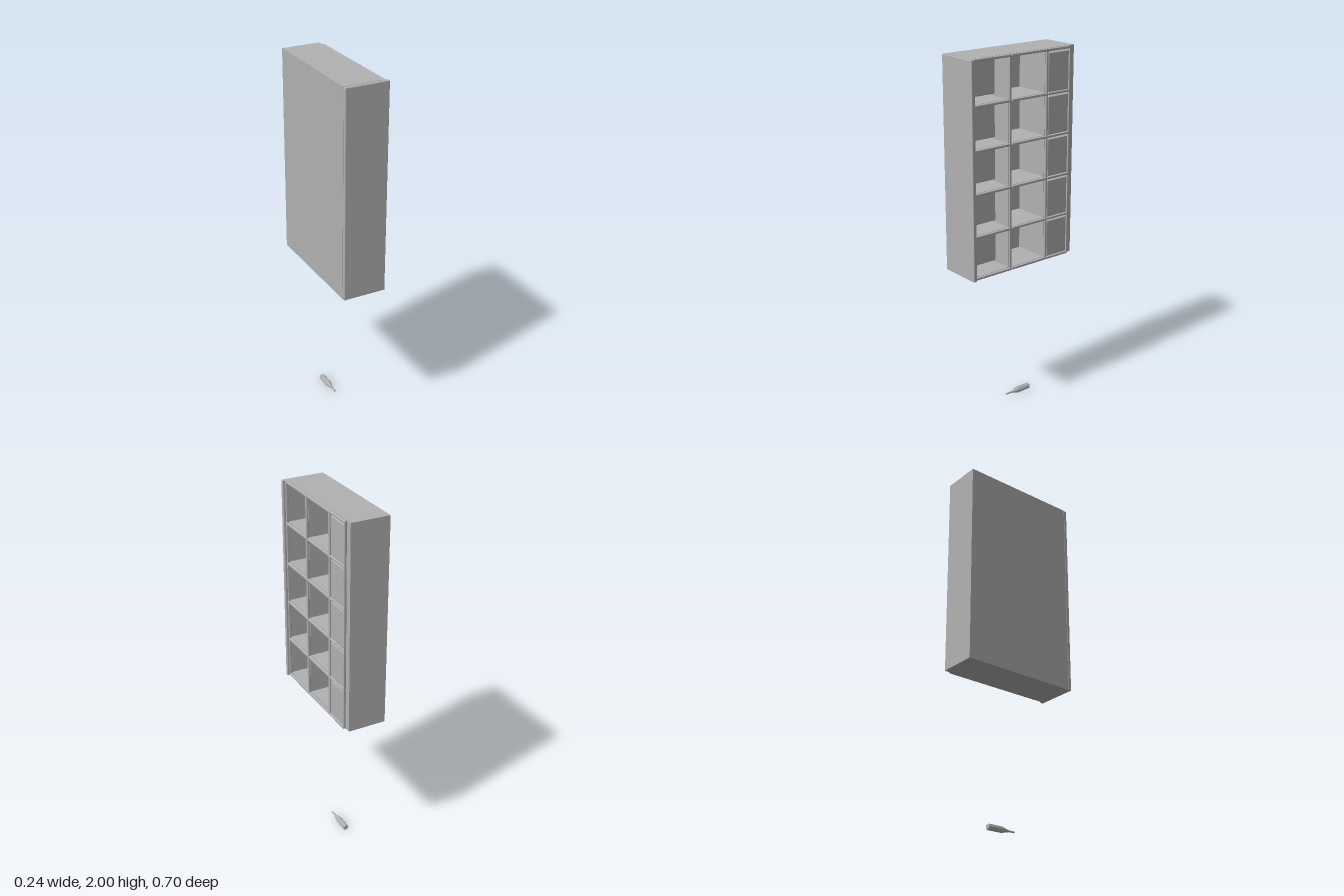
import * as THREE from 'three';
import { RoundedBoxGeometry } from 'three/addons/geometries/RoundedBoxGeometry.js';

export function createModel() {
  const model = new THREE.Group();
  model.name = 'wallShelfAndTool';
  const grey = new THREE.MeshStandardMaterial({ color: 0xb2b2b2 });
  grey.name = 'grey';

  // Box given by its min and max corners, optionally with rounded edges
  function box(name, [x0, y0, z0], [x1, y1, z1], radius = 0) {
    const s = [x1 - x0, y1 - y0, z1 - z0];
    const geo = radius ? new RoundedBoxGeometry(...s, 2, radius) : new THREE.BoxGeometry(...s);
    const mesh = new THREE.Mesh(geo, grey);
    mesh.name = name;
    mesh.position.set((x0 + x1) / 2, (y0 + y1) / 2, (z0 + z1) / 2);
    model.add(mesh);
  }

  const bottom = 0.84, top = 2, t = 0.014;
  const back = -0.121, face = 0.095, trim = 0.11;
  const pitch = (top - bottom - t) / 5;

  // Carcass: back, end walls and the two uprights
  box('backPanel', [back, bottom, -0.35], [back + t, top, 0.327]);
  box('rearWall', [back, bottom, -0.35], [face, top, -0.314]);
  box('frontSidePanel', [back, bottom, 0.327], [0.121, top, 0.348], 0.004);
  const uprights = [[0.084, 0.098], [-0.163, -0.149]];
  for (const [z0, z1] of uprights) box('upright', [back + t, bottom, z0], [face, top, z1]);

  // Face stiles along the uprights and the ends
  for (const [z0, z1] of [...uprights, [0.318, 0.327], [-0.315, -0.308]])
    box('stile', [face, bottom, z0], [trim - 0.001, top, z1], 0.003);

  // Shelves with a separate rounded edging in each column
  const columns = [[0.083, 0.326], [-0.16, 0.082], [-0.315, -0.161]];
  for (let i = 0; i <= 5; i++) {
    const y = bottom + i * pitch;
    box('shelf', [back, y, -0.33], [face, y + t, 0.327]);
    for (const [z0, z1] of columns) box('shelfEdging', [face, y, z0], [trim, y + t, z1], 0.004);
  }

  // Recessed panels in the first column, doors in the last
  for (let i = 0; i < 5; i++) {
    const y0 = bottom + i * pitch + t, y1 = bottom + (i + 1) * pitch;
    box('recessedPanel', [-0.022, y0 + 0.012, 0.1], [-0.007, y1 - 0.012, 0.283], 0.006);
    box('door', [0.09, y0 + 0.001, -0.308], [0.105, y1 - 0.008, -0.166], 0.005);
  }

  // Hand tool lying below: grip, shoulder and shaft turned around z
  const tool = new THREE.Group();
  tool.name = 'handTool';
  const turned = (name, points, sides) => {
    const geo = new THREE.LatheGeometry(points.map(([r, z]) => new THREE.Vector2(r, z)), sides);
    const mesh = new THREE.Mesh(geo.rotateX(Math.PI / 2), grey);
    mesh.name = name;
    tool.add(mesh);
  };
  turned('toolGrip', [[0, -0.139], [0.013, -0.139], [0.013, -0.139], [0.016, -0.135],
    [0.016, -0.05], [0.015, -0.042], [0.008, -0.02], [0.007, -0.008], [0.007, -0.008], [0, -0.008]], 16);
  turned('toolShaft', [[0, -0.01], [0.005, -0.01], [0.005, 0.03], [0.005, 0.03], [0, 0.03]], 12);

  // Raised ribs around the grip
  for (let i = 0; i < 8; i++) {
    const a = (i / 8) * Math.PI * 2;
    const rib = new THREE.Mesh(new THREE.CylinderGeometry(0.003, 0.003, 0.085, 8).rotateX(Math.PI / 2), grey);
    rib.name = 'gripRib';
    rib.position.set(Math.cos(a) * 0.0145, Math.sin(a) * 0.0145, -0.093);
    tool.add(rib);
  }
  tool.position.set(-0.009, 0.0175, 0);
  model.add(tool);

  return model;
}
